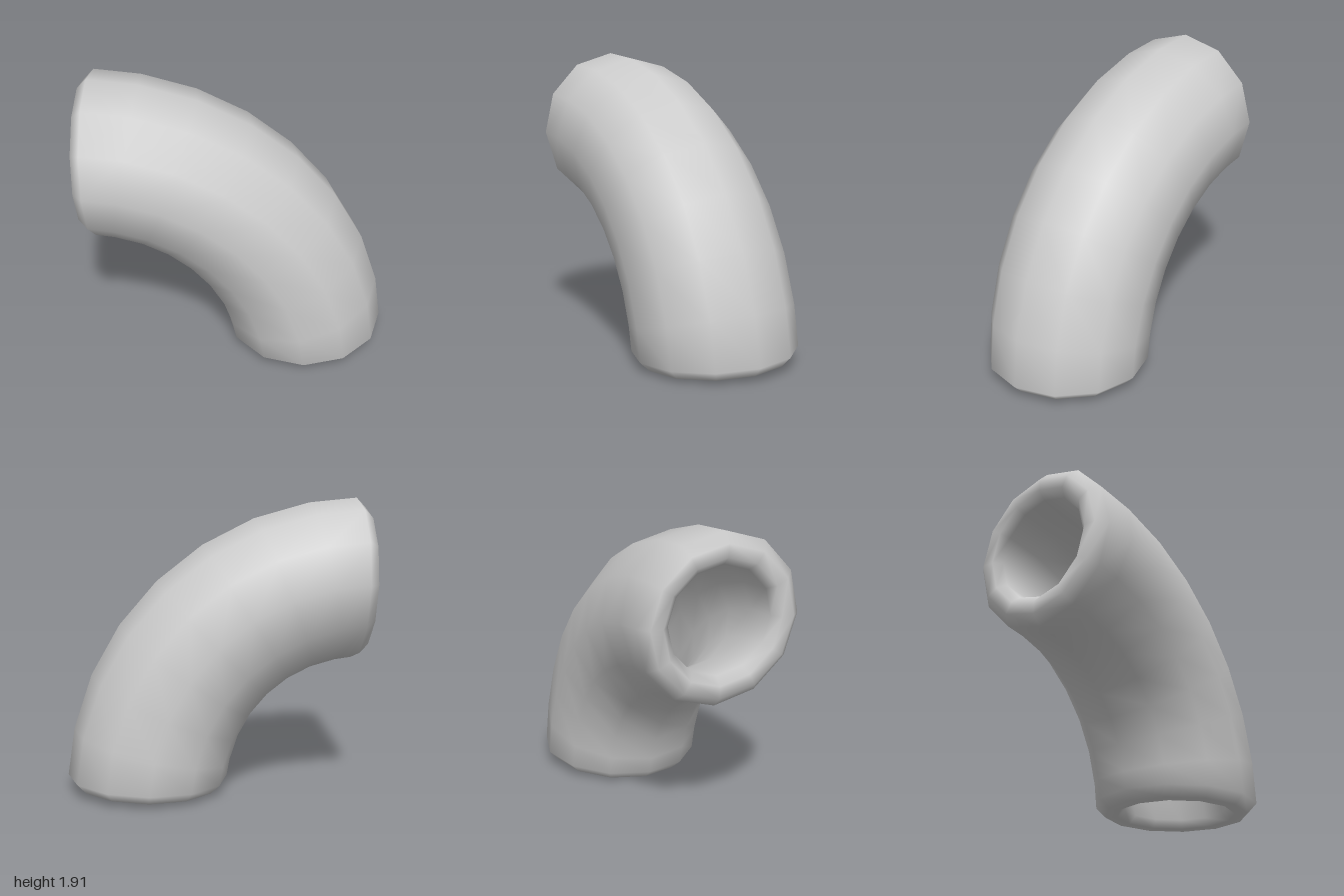
import * as THREE from 'three';

const SIDES = 12;
const STEPS = 8;
const BEND = 1.405;                 // radius of the bend's centre line
const START = THREE.MathUtils.degToRad(1.7);
const END = THREE.MathUtils.degToRad(91.3);

// Slightly tilted plane of the bend: u points outward at the foot, v up, n sideways
const n = new THREE.Vector3(-0.078, -0.0315, 1).normalize();
const u = new THREE.Vector3(1, 0, 0.078).normalize();
const v = new THREE.Vector3().crossVectors(n, u).normalize();
const centre = new THREE.Vector3(-0.93, -0.03, -0.077);

// One ring around the pipe, shifted along the pipe's direction by `shift`
function ring(angle, radius, shift = 0) {
  const out = u.clone().multiplyScalar(Math.cos(angle)).addScaledVector(v, Math.sin(angle));
  const along = u.clone().multiplyScalar(-Math.sin(angle)).addScaledVector(v, Math.cos(angle));
  const mid = centre.clone().addScaledVector(out, BEND).addScaledVector(along, shift);
  return Array.from({ length: SIDES }, (_, j) => {
    const a = (j / SIDES) * Math.PI * 2;
    return mid.clone()
      .addScaledVector(out, radius * Math.cos(a))
      .addScaledVector(n, radius * Math.sin(a));
  });
}

// Rings of one wall between the two bevels
function wall(radius, bevel) {
  const rings = [ring(START, radius, bevel)];
  for (let i = 1; i < STEPS; i++) {
    rings.push(ring(START + (END - START) * i / STEPS, radius));
  }
  rings.push(ring(END, radius, -bevel));
  return rings;
}

export function createModel() {
  const group = new THREE.Group();
  group.name = 'pipeElbow';

  // Closed run of rings: outer wall, far rim, bore back again, near rim
  const rings = [
    ...wall(0.528, 0.062),
    ring(END, 0.465), ring(END, 0.385),
    ...wall(0.335, 0.05).reverse(),
    ring(START, 0.385), ring(START, 0.465),
  ];

  const positions = rings.flat().flatMap((p) => p.toArray());
  const index = [];
  for (let i = 0; i < rings.length; i++) {
    const next = (i + 1) % rings.length;
    for (let j = 0; j < SIDES; j++) {
      const k = (j + 1) % SIDES;
      const a = i * SIDES + j, b = next * SIDES + j;
      const c = next * SIDES + k, d = i * SIDES + k;
      index.push(a, b, c, a, c, d);
    }
  }

  const geometry = new THREE.BufferGeometry();
  geometry.setAttribute('position', new THREE.Float32BufferAttribute(positions, 3));
  geometry.setIndex(index);
  geometry.computeVertexNormals();

  const pipe = new THREE.Mesh(geometry, new THREE.MeshStandardMaterial({ color: 0xcccccc }));
  pipe.name = 'bentPipe';
  group.add(pipe);
  return group;
}
